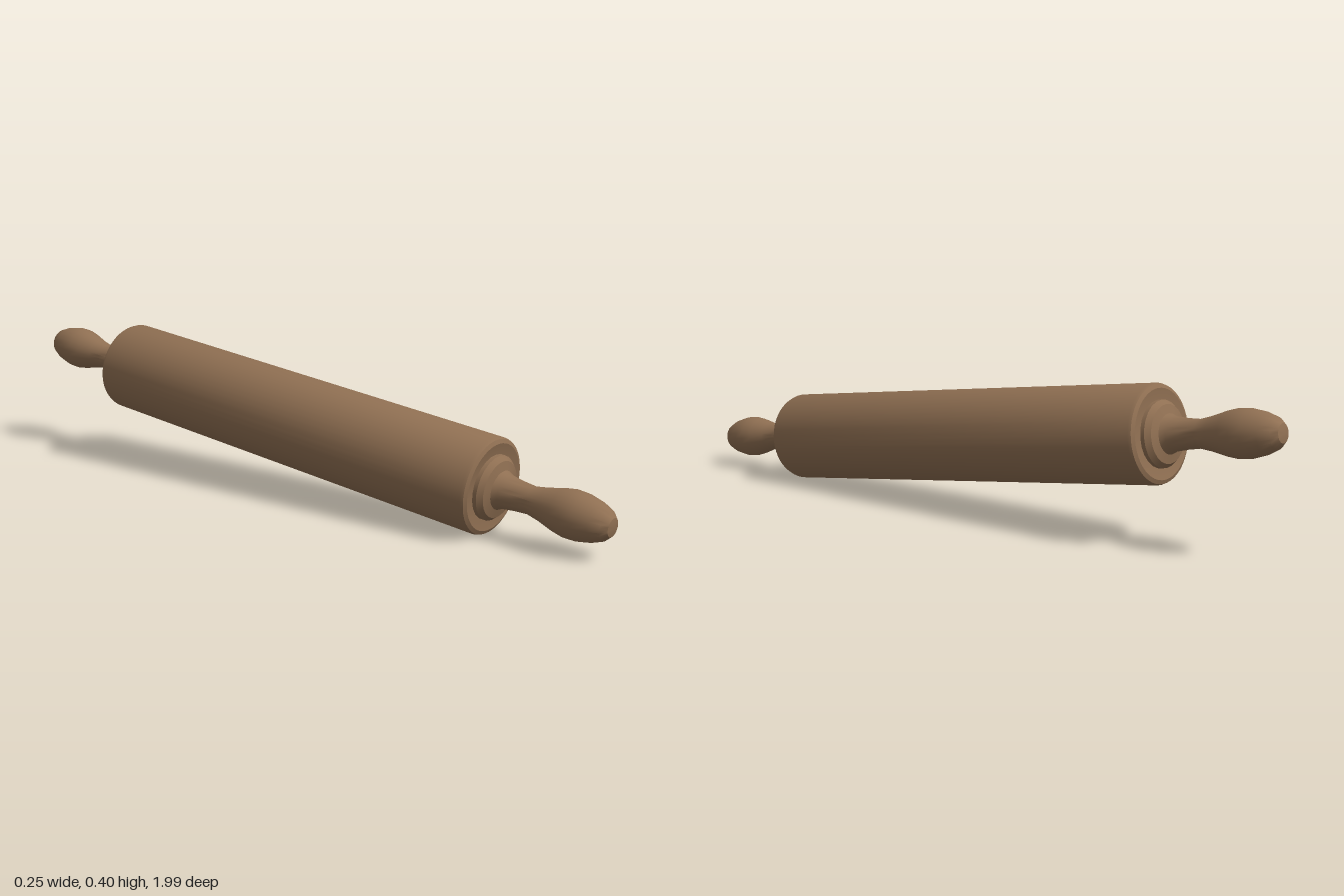
import * as THREE from 'three';
import { toCreasedNormals } from 'three/addons/utils/BufferGeometryUtils.js';

const wood = new THREE.MeshStandardMaterial({ color: 0x8f6f52 });
wood.name = 'brown wood';

// Turned part around the y axis; profile is [radius, height] from low to high
function turned(name, profile, segments) {
  const points = profile.map(([r, y]) => new THREE.Vector2(r, y));
  const geometry = toCreasedNormals(new THREE.LatheGeometry(points, segments), 0.45);
  const mesh = new THREE.Mesh(geometry, wood);
  mesh.name = name;
  return mesh;
}

export function createModel() {
  const model = new THREE.Group();
  model.name = 'rollingPin';

  // Roller with chamfered rims and slightly dished ends
  const end = [[0.127, 0.648], [0.124, 0.656], [0.114, 0.661], [0.085, 0.656], [0, 0.656]];
  const start = end.map(([r, y]) => [r, -y]).reverse();
  model.add(turned('roller', [...start, ...end], 48));

  // Collar, neck, bulb and blunt tip of a handle
  const grip = [
    [0.085, 0.655], [0.085, 0.667], [0.074, 0.68], [0.051, 0.686],
    [0.044, 0.7], [0.039, 0.735], [0.036, 0.775], [0.043, 0.81],
    [0.055, 0.853], [0.061, 0.885], [0.06, 0.915], [0.051, 0.955],
    [0.039, 0.983], [0.024, 0.998], [0, 1.003],
  ];
  for (const [name, turn] of [['frontHandle', 0], ['backHandle', Math.PI]]) {
    const handle = turned(name, grip, 24);
    handle.rotation.z = turn;
    model.add(handle);
  }

  // Lay the pin along z, front end resting low
  model.rotation.x = Math.PI / 2 + 0.117;
  model.position.y = 0.205;

  const root = new THREE.Group();
  root.add(model);
  return root;
}
